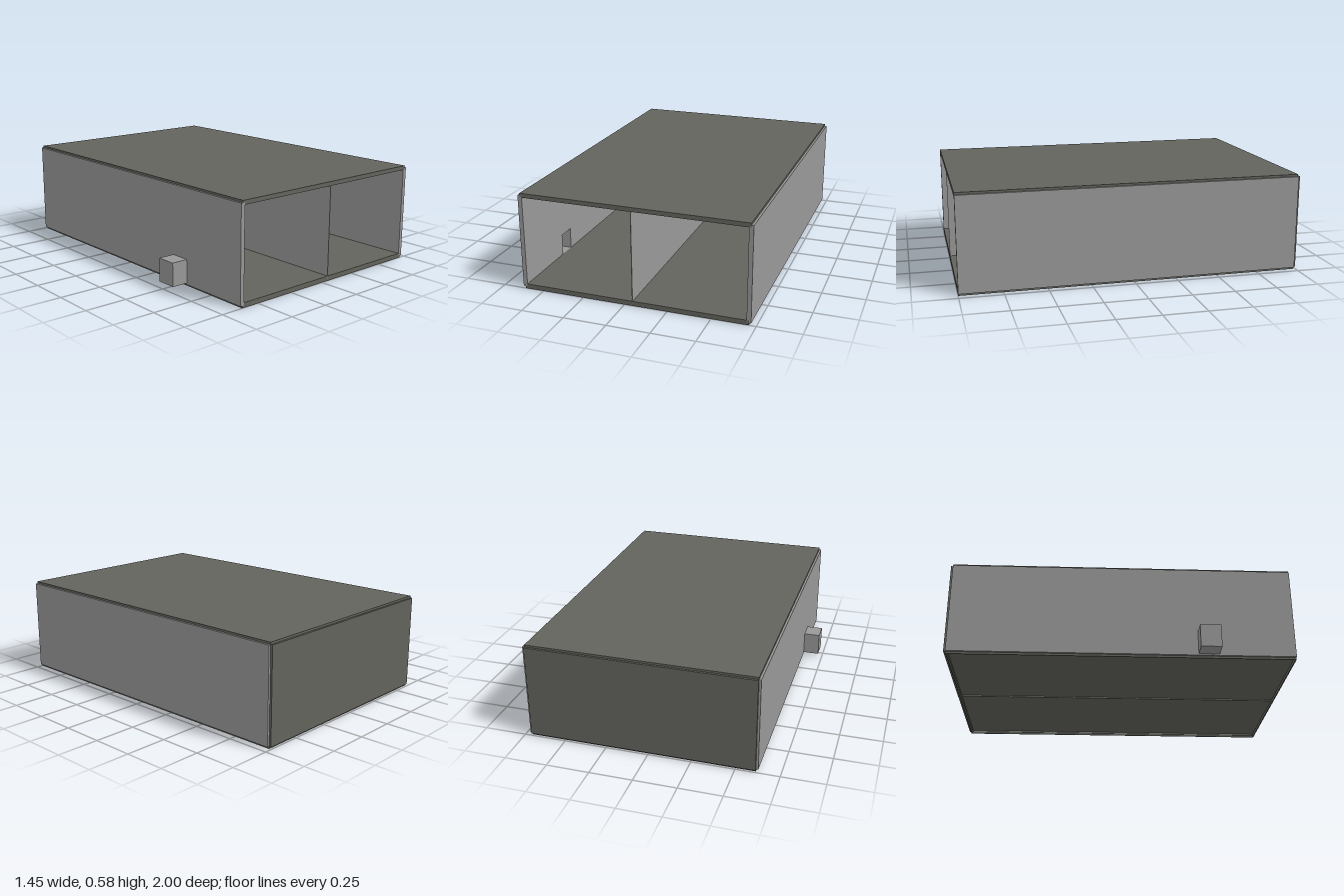
import * as THREE from 'three';

export function createModel() {
  const group = new THREE.Group();
  const dark = new THREE.MeshStandardMaterial({ color: 0x63635d });
  dark.name = 'dark grey';
  const light = new THREE.MeshStandardMaterial({ color: 0x989898 });
  light.name = 'light grey';

  // Box given by its minimum and maximum corners
  const panel = (name, material, [x0, y0, z0], [x1, y1, z1], parent = group) => {
    const mesh = new THREE.Mesh(new THREE.BoxGeometry(x1 - x0, y1 - y0, z1 - z0), material);
    mesh.position.set((x0 + x1) / 2, (y0 + y1) / 2, (z0 + z1) / 2);
    mesh.name = name;
    parent.add(mesh);
    return mesh;
  };

  const L = -0.614, R = 0.709, B = -0.988, F = 1; // panel centre lines
  const low = 0.013, high = 0.567, t = 0.0125;    // wall height, half thickness

  // Top and back panels
  panel('topPanel', dark, [L, high - t, B], [R, high + t, F]);
  panel('backPanel', dark, [L, low, B - t], [R, high, B + t]);

  // Floor with a shallow rim underneath
  const floor = new THREE.Group();
  floor.name = 'floor';
  group.add(floor);
  const rim = 0.006, under = 0.02;
  panel('floorPlate', dark, [L, under, B], [R, 0.028, F], floor);
  for (const x of [L, R - rim]) panel('floorSideRim', dark, [x, 0, B], [x + rim, under, F], floor);
  for (const z of [B, F - rim]) panel('floorEndRim', dark, [L + rim, 0, z], [R - rim, under, z + rim], floor);

  // Plain side wall and thin centre divider
  panel('leftWall', light, [R - t, low, B], [R + t, high, F]);
  panel('divider', light, [0.045, low, B + t], [0.049, high, F]);

  // Side wall with a square opening
  const rect = (path, z0, y0, z1, y1) =>
    path.moveTo(z0, y0).lineTo(z1, y0).lineTo(z1, y1).lineTo(z0, y1).closePath();
  const shape = rect(new THREE.Shape(), B, low, F, high);
  shape.holes.push(rect(new THREE.Path(), 0.445, 0.028, 0.555, 0.155));
  const wall = new THREE.Mesh(new THREE.ExtrudeGeometry(shape, { depth: 2 * t, bevelEnabled: false }), light);
  wall.rotation.y = -Math.PI / 2;
  wall.position.x = L + t;
  wall.name = 'rightWall';
  group.add(wall);

  // Hollow outlet box around the opening
  const outlet = new THREE.Group();
  outlet.name = 'outlet';
  group.add(outlet);
  const x0 = -0.725, x1 = L - t, w = 0.005;
  for (const y of [0.022, 0.155]) panel('outletPlate', light, [x0, y, 0.44], [x1, y + w, 0.56], outlet);
  for (const z of [0.44, 0.555]) panel('outletSide', light, [x0, 0.027, z], [x1, 0.155, z + w], outlet);
  panel('outletEnd', light, [x0, 0.027, 0.445], [x0 + w, 0.155, 0.555], outlet);

  return group;
}
